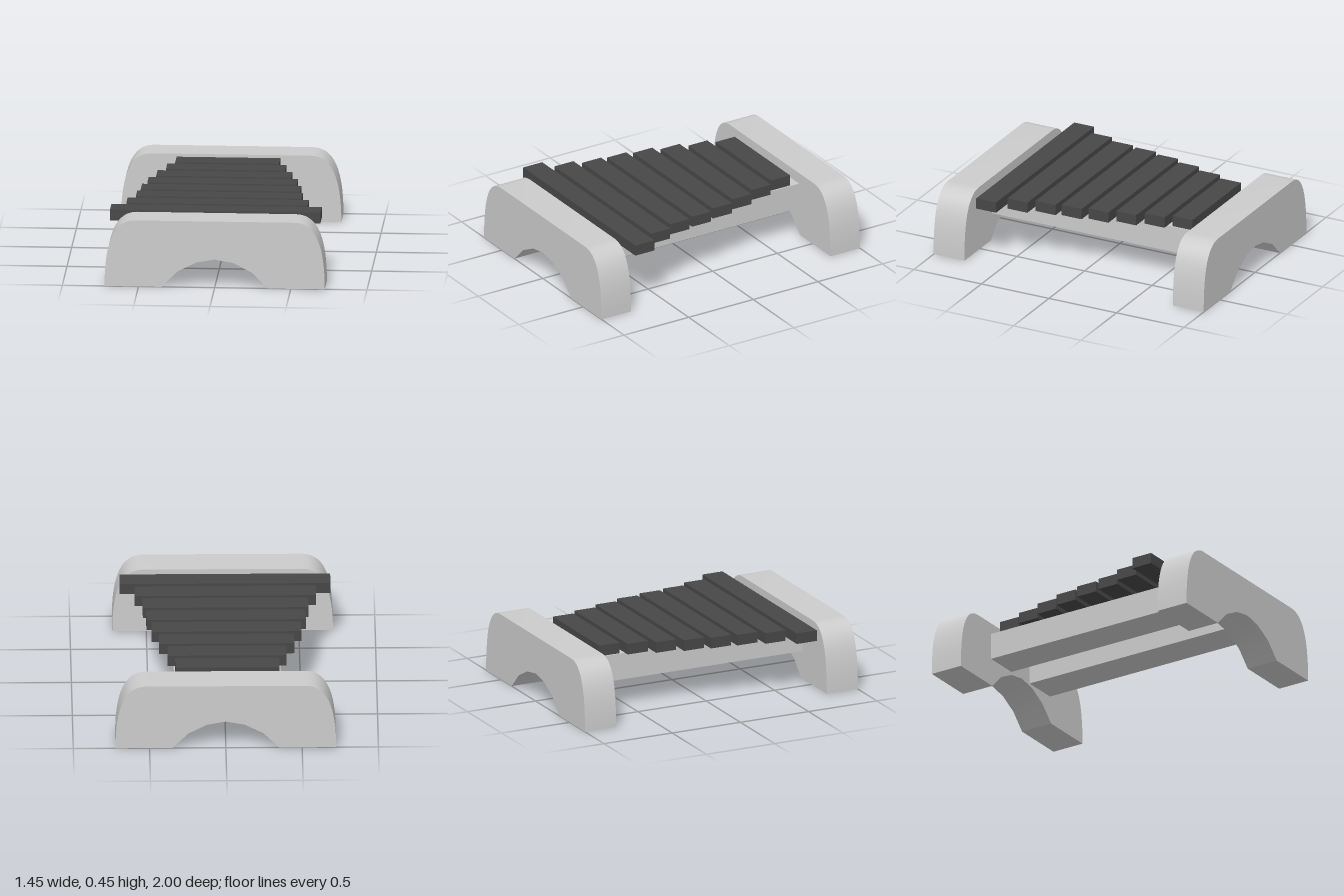
import * as THREE from 'three';
import { toCreasedNormals } from 'three/addons/utils/BufferGeometryUtils.js';

const grey = new THREE.MeshStandardMaterial({ color: 0xcccccc });
const dark = new THREE.MeshStandardMaterial({ color: 0x474747 });

function box(name, material, size, position) {
  const mesh = new THREE.Mesh(new THREE.BoxGeometry(...size), material);
  mesh.name = name;
  mesh.position.set(...position);
  return mesh;
}

// End support: rounded shoulders outside, faceted arch cut out below
function supportGeometry(depth) {
  const shape = new THREE.Shape();
  shape.moveTo(0.35, 0);
  shape.lineTo(0.723, 0);
  shape.bezierCurveTo(0.723, 0.3, 0.66, 0.447, 0.52, 0.447);
  shape.lineTo(-0.52, 0.447);
  shape.bezierCurveTo(-0.66, 0.447, -0.723, 0.3, -0.723, 0);
  shape.lineTo(-0.35, 0);
  const arch = [[-0.245, 0.105], [-0.122, 0.168], [0, 0.19], [0.122, 0.168], [0.245, 0.105]];
  arch.forEach(([x, y]) => shape.lineTo(x, y));
  shape.closePath();
  const geometry = new THREE.ExtrudeGeometry(shape, { depth, bevelEnabled: false, curveSegments: 16 });
  geometry.translate(0, 0, -depth / 2);
  return toCreasedNormals(geometry, 0.6);
}

export function createModel() {
  const model = new THREE.Group();
  model.name = 'xylophone';

  // Front and back supports
  const depth = 0.228;
  const support = supportGeometry(depth);
  for (const side of [1, -1]) {
    const mesh = new THREE.Mesh(support, grey);
    mesh.name = side > 0 ? 'frontSupport' : 'backSupport';
    mesh.position.z = side * (1 - depth / 2);
    model.add(mesh);
  }

  // Two rails joining the supports
  const centreX = -0.014;
  for (const side of [1, -1]) {
    model.add(box(side > 0 ? 'leftRail' : 'rightRail', grey,
      [0.243, 0.18, 1.544], [centreX + side * 0.229, 0.28, 0]));
  }

  // Sounding bars, shortest at the back
  const lengths = [0.682, 0.781, 0.886, 0.981, 1.045, 1.087, 1.19, 1.381];
  lengths.forEach((length, i) => {
    model.add(box(`bar${i + 1}`, dark,
      [length, 0.073, 0.147], [centreX, 0.4065, (i - 3.5) * 0.1815]));
  });

  return model;
}
